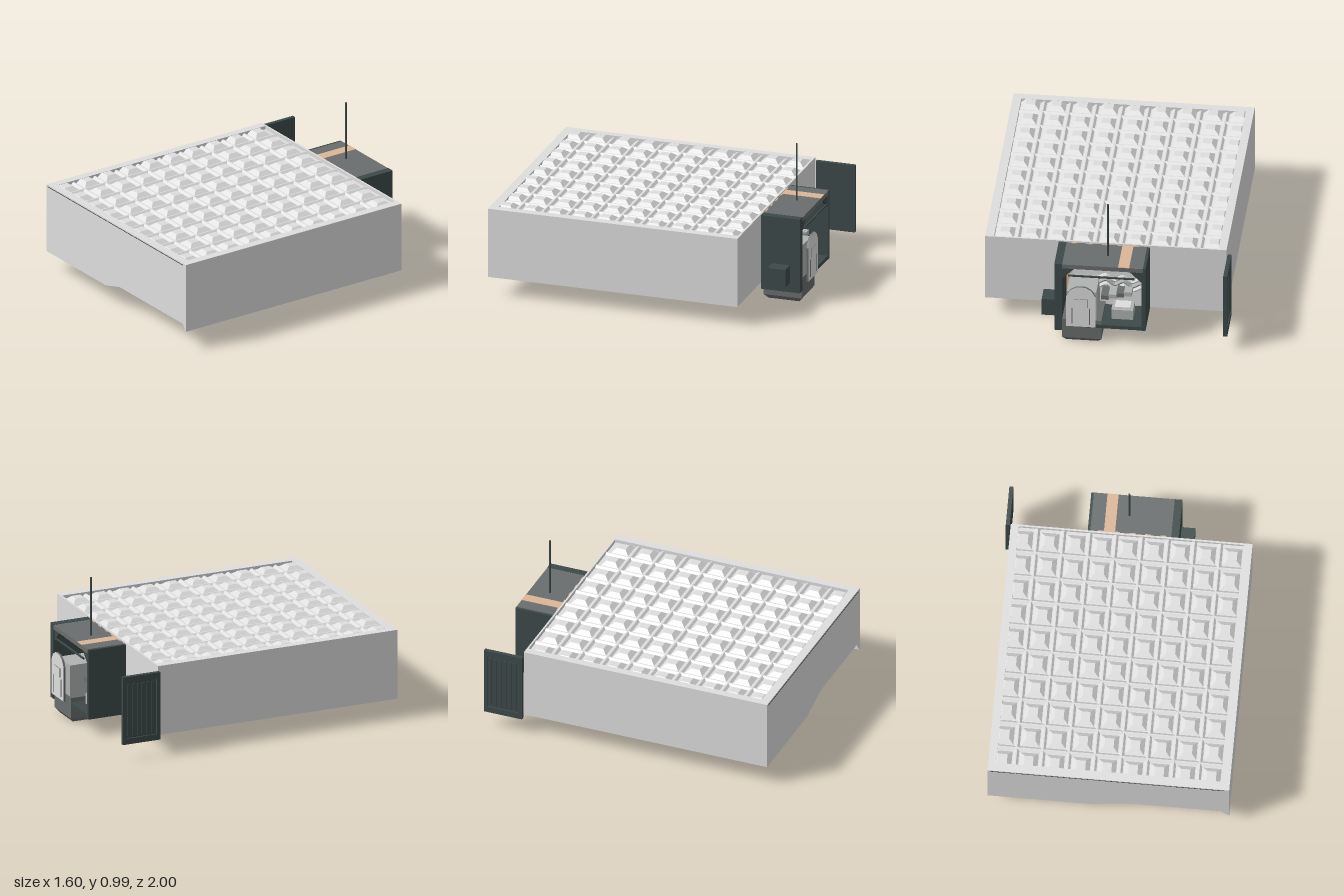
import * as THREE from 'three';

const mat = (name, color, side = THREE.FrontSide) => {
  const m = new THREE.MeshStandardMaterial({ color, side, flatShading: true });
  m.name = name;
  return m;
};

export function createModel() {
  const root = new THREE.Group();
  const light = mat('light grey', 0xdddedd, THREE.DoubleSide);
  const teal = mat('dark teal', 0x3d4a49);
  const grey = mat('dark grey', 0x6a6d6d);
  const mid = mat('mid grey', 0xb0b3b1);
  const tan = mat('tan', 0xdab698);
  const black = mat('charcoal', 0x3a3e3e);

  const add = (name, geo, m, parent = root) => {
    const mesh = new THREE.Mesh(geo, m);
    mesh.name = name;
    parent.add(mesh);
    return mesh;
  };
  // Box given by its minimum and maximum on each axis
  const box = (name, m, x0, x1, y0, y1, z0, z1, parent = root) => {
    const b = add(name, new THREE.BoxGeometry(x1 - x0, y1 - y0, z1 - z0), m, parent);
    b.position.set((x0 + x1) / 2, (y0 + y1) / 2, (z0 + z1) / 2);
    return b;
  };
  const shapeOf = (pts) => new THREE.Shape(pts.map((p) => new THREE.Vector2(p[0], p[1])));
  const extrude = (shape, depth) =>
    new THREE.ExtrudeGeometry(shape, { depth, bevelEnabled: false });

  // Thin outer shell of the large block, open below, with a cut in the front
  const body = new THREE.Group();
  body.name = 'body';
  root.add(body);
  box('rightWall', light, -0.767, -0.765, 0.13, 0.6, -0.7, 0.997, body);
  box('leftWall', light, 0.795, 0.797, 0.13, 0.6, -0.7, 0.997, body);
  box('backWall', light, -0.765, 0.795, 0.13, 0.6, -0.7, -0.698, body);
  const front = shapeOf([[-0.765, 0.13], [-0.1, 0.13], [0.14, 0.2], [0.74, 0.2], [0.795, 0.13],
    [0.795, 0.6], [-0.765, 0.6]]);
  add('frontWall', extrude(front, 0.002), light, body).position.z = 0.995;

  // Inner core, top rim and shallow waffle top
  box('core', light, -0.714, 0.74, 0.13, 0.577, -0.688, 0.94, body);
  box('rimRight', light, -0.765, -0.714, 0.57, 0.6, -0.698, 0.995, body);
  box('rimLeft', light, 0.74, 0.795, 0.57, 0.6, -0.698, 0.995, body);
  box('rimFront', light, -0.714, 0.74, 0.57, 0.6, 0.94, 0.995, body);
  box('rimBack', light, -0.714, 0.74, 0.57, 0.6, -0.698, -0.688, body);
  const pitch = 0.169, cx0 = -0.677, cz0 = -0.606;
  const stud = new THREE.CylinderGeometry(0.03 * Math.SQRT2, 0.06 * Math.SQRT2, 0.025, 4, 1);
  stud.rotateY(Math.PI / 4);
  for (let i = 0; i < 9; i++) {
    for (let j = 0; j < 10; j++) {
      add('waffleStud', stud, light, body).position.set(cx0 + i * pitch, 0.5895, cz0 + j * 0.168);
    }
  }
  const ridge = shapeOf([[-0.018, 0], [0.018, 0], [0.004, 0.013], [-0.004, 0.013]]);
  const ridgeZ = extrude(ridge, 1.628), ridgeX = extrude(ridge, 1.454).rotateY(Math.PI / 2);
  for (let i = 0; i < 8; i++) {
    add('waffleRidgeLong', ridgeZ, light, body).position.set(cx0 + (i + 0.5) * pitch, 0.577, -0.688);
  }
  for (let j = 0; j < 9; j++) {
    add('waffleRidgeCross', ridgeX, light, body).position.set(-0.714, 0.577, cz0 + (j + 0.5) * 0.168);
  }

  // Thin slots along the front edge, and small studs underneath
  for (let i = 0; i < 9; i++) {
    const x = -0.75 + i * 0.169;
    box('frontSlot', black, x, x + 0.163, 0.588, 0.591, 0.996, 1, body);
  }
  for (const x of [-0.23, 0.24]) for (const z of [0.745, 0.9]) {
    add('underStud', new THREE.CylinderGeometry(0.007, 0.007, 0.02, 8), grey, body).position.set(x, 0.122, z);
  }

  // Open compartment on the back
  const bay = new THREE.Group();
  bay.name = 'compartment';
  root.add(bay);
  box('bayTop', grey, -0.253, 0.27, 0.56, 0.59, -0.965, -0.7, bay);
  box('bayStripe', tan, -0.165, -0.093, 0.588, 0.593, -0.965, -0.7, bay);
  box('bayTopLip', teal, -0.2, 0.23, 0.505, 0.515, -0.972, -0.962, bay);
  box('bayRightWall', teal, -0.27, -0.245, 0.115, 0.588, -0.965, -0.7, bay);
  box('bayLeftPanel', teal, 0.27, 0.32, 0.085, 0.592, -0.965, -0.7, bay);
  box('bayBottom', teal, -0.245, 0.14, 0.115, 0.14, -0.96, -0.7, bay);
  box('bayLiner', tan, -0.245, 0.27, 0.14, 0.56, -0.712, -0.701, bay);
  box('bayBackSheet', light, -0.225, 0.23, 0.15, 0.49, -0.722, -0.712, bay);
  for (const [x0, x1] of [[-0.27, -0.11], [0.14, 0.27]]) {
    box('lowerTrim', tan, x0, x1, 0.11, 0.13, -0.72, -0.692, bay);
  }
  for (let i = 0; i < 5; i++) {
    box('hinge', tan, -0.2 + i * 0.1, -0.16 + i * 0.1, 0.585, 0.594, -0.709, -0.7, bay);
  }
  // Corner braces of the opening
  for (const [x, s] of [[-0.245, 1], [0.27, -1]]) {
    const tri = shapeOf(s > 0 ? [[0, 0], [0, -0.08], [0.08, 0]] : [[0, 0], [-0.08, 0], [0, -0.08]]);
    add('cornerBrace', extrude(tri, 0.02), teal, bay).position.set(x, 0.56, -0.96);
  }
  box('sideBox', teal, 0.32, 0.41, 0.15, 0.27, -0.895, -0.775, bay);

  // Engine with tapered foot and arched cover
  const engine = new THREE.Group();
  engine.name = 'engine';
  root.add(engine);
  box('engineBlock', grey, 0.015, 0.27, 0.03, 0.17, -0.96, -0.7, engine);
  const foot = new THREE.CylinderGeometry(Math.SQRT1_2, 0.57, 1, 4, 1).rotateY(Math.PI / 4);
  foot.scale(0.255, 0.03, 0.26);
  add('engineFoot', foot, grey, engine).position.set(0.1425, 0.015, -0.83);
  box('engineCore', mid, 0.05, 0.24, 0.17, 0.38, -0.95, -0.74, engine);
  const arch = shapeOf([[0.05, 0.14], [0.24, 0.14], [0.24, 0.37], [0.215, 0.415], [0.175, 0.44],
    [0.115, 0.44], [0.075, 0.415], [0.05, 0.37]]);
  add('archedCover', extrude(arch, 0.014), [light, grey], engine).position.z = -0.995;
  box('coverLatch', [grey, grey, grey, grey, light, light], 0.1, 0.19, 0.29, 0.35, -1, -0.978, engine);
  for (const x of [0.085, 0.2]) {
    box('coverGroove', grey, x, x + 0.006, 0.16, 0.28, -0.997, -0.994, engine);
  }

  // Wavy pipes and stepped block beside the engine
  for (let k = 0; k < 3; k++) {
    const y = 0.32 + k * 0.045;
    const path = new THREE.CatmullRomCurve3([0, 1, 2, 3, 4, 5].map((i) =>
      new THREE.Vector3(0.06 - i * 0.056, y + (i % 2 ? 0.016 : -0.016) - i * 0.004, -0.76 - k * 0.02)));
    add('wavyPipe', new THREE.TubeGeometry(path, 20, 0.012, 6), k === 1 ? mid : light, engine);
  }
  for (let i = 0; i < 4; i++) {
    box('step', i % 2 ? mid : grey, 0.03 - (i + 1) * 0.05, 0.03 - i * 0.05, 0.27 + i * 0.012, 0.3 + i * 0.012,
      -0.86, -0.74, engine);
  }
  box('sideUnit', mid, -0.18, -0.04, 0.14, 0.21, -0.88, -0.76, engine);
  box('sideUnitLid', light, -0.16, -0.06, 0.21, 0.22, -0.86, -0.78, engine);
  box('drainStub', teal, -0.025, -0.003, 0.045, 0.13, -0.84, -0.815, engine);
  box('drainPin', grey, -0.103, -0.098, 0.06, 0.13, -0.83, -0.825, engine);

  // Aerial
  add('aerial', new THREE.CylinderGeometry(0.006, 0.006, 0.4, 8), teal).position.set(-0.012, 0.785, -0.83);

  // Detached ribbed door
  const door = new THREE.Group();
  door.name = 'door';
  root.add(door);
  box('doorPanel', teal, -0.79, -0.774, 0.11, 0.57, -0.965, -0.7, door);
  for (const y of [0.11, 0.53]) box('doorRail', teal, -0.8, -0.79, y, y + 0.04, -0.965, -0.7, door);
  for (const z of [-0.965, -0.725]) box('doorStile', teal, -0.8, -0.79, 0.15, 0.53, z, z + 0.025, door);
  for (let i = 0; i < 6; i++) {
    const z = -0.93 + i * 0.034;
    box('doorRib', teal, -0.797, -0.79, 0.165, 0.515, z, z + 0.018, door);
  }
  return root;
}
